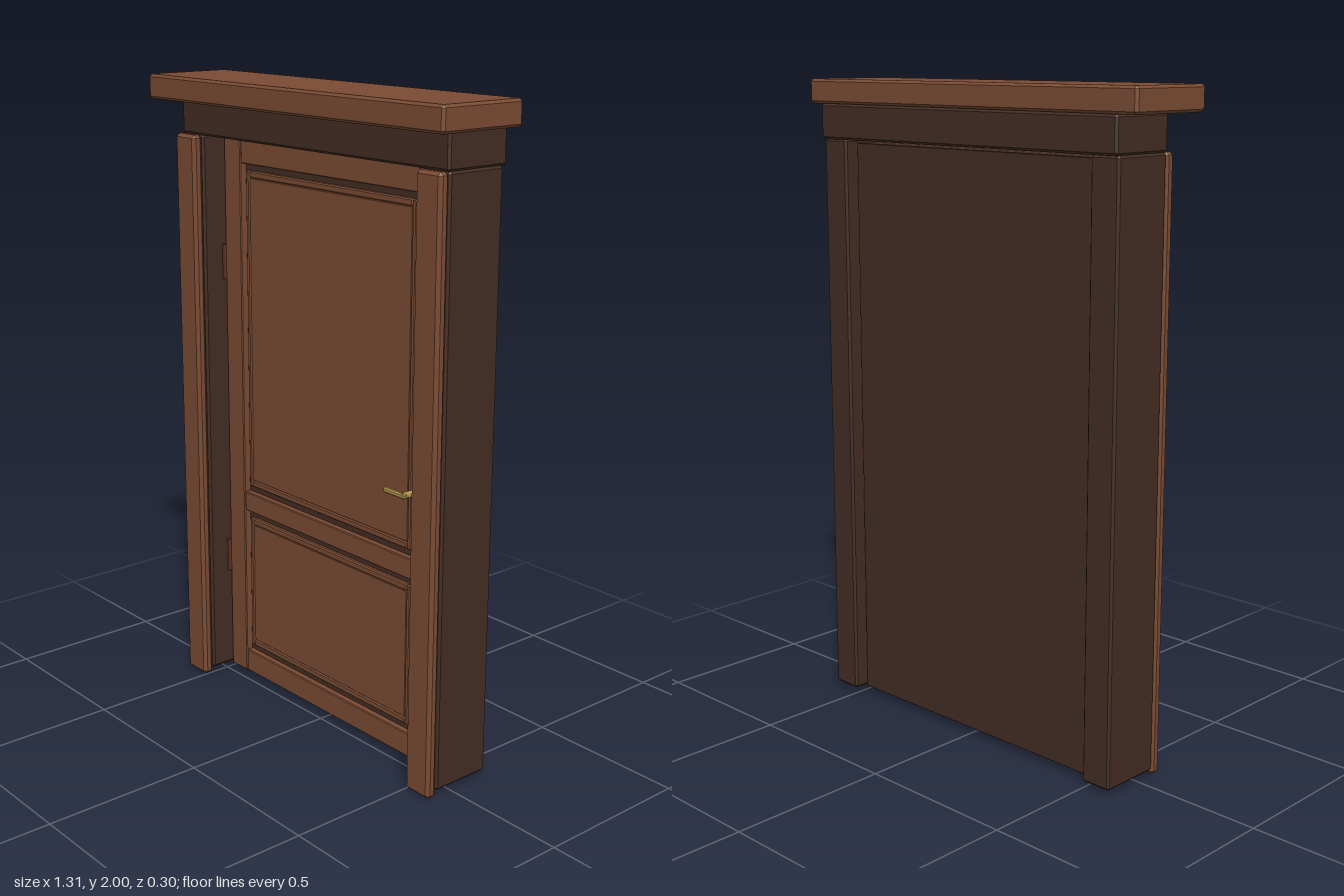
import * as THREE from 'three';
import { ConvexGeometry } from 'three/addons/geometries/ConvexGeometry.js';

const material = (name, color) => Object.assign(new THREE.MeshStandardMaterial({ color }), { name });
const wood = material('brown wood', 0x7a4b33);
const dark = material('dark wood', 0x432d23);
const brass = material('brass', 0xb3924d);
const rust = material('hinge metal', 0x5a2e1c);

// Box given by its extents, with every edge chamfered by c
function block(parent, name, mat, [x0, x1], [y0, y1], [z0, z1], c = 0.003) {
  const half = [(x1 - x0) / 2, (y1 - y0) / 2, (z1 - z0) / 2];
  const points = [];
  for (const sx of [-1, 1]) for (const sy of [-1, 1]) for (const sz of [-1, 1])
    for (let outer = 0; outer < 3; outer++) {
      const p = [sx, sy, sz].map((s, i) => s * (half[i] - (i === outer ? 0 : c)));
      points.push(new THREE.Vector3(...p));
    }
  const mesh = new THREE.Mesh(new ConvexGeometry(points), mat);
  mesh.name = name;
  mesh.position.set((x0 + x1) / 2, (y0 + y1) / 2, (z0 + z1) / 2);
  parent.add(mesh);
  return mesh;
}

function group(parent, name) {
  const g = new THREE.Group();
  g.name = name;
  parent.add(g);
  return g;
}

export function createModel() {
  const model = new THREE.Group();
  model.name = 'panelledDoor';

  // Surround: cornice, lintel, and a jamb with casing on each side
  const frame = group(model, 'frame');
  block(frame, 'cornice', wood, [-0.655, 0.655], [1.925, 2], [-0.145, 0.148], 0.008);
  block(frame, 'lintel', dark, [-0.595, 0.595], [1.818, 1.926], [-0.152, 0.065], 0.007);
  for (const [side, s] of [['left', 1], ['right', -1]]) {
    const span = (a, b) => (s > 0 ? [a, b] : [-b, -a]);
    block(frame, side + 'Jamb', dark, span(0.495, 0.595), [0.018, 1.819], [-0.14, 0.061], 0.007);
    block(frame, side + 'Casing', wood, span(0.497, 0.595), [0, 1.82], [0.06, 0.095], 0.01);
  }

  // Door leaf: dark core faced with brown stiles and rails
  const door = group(model, 'door');
  const face = [-0.04, -0.012];
  block(door, 'core', dark, [-0.482, 0.482], [0.021, 1.808], [-0.105, -0.035], 0.002);
  block(door, 'rightStile', wood, [-0.484, -0.402], [0.02, 1.81], face);
  block(door, 'leftStile', wood, [0.402, 0.484], [0.02, 1.81], face);
  for (const [name, y0, y1] of [['bottomRail', 0.02, 0.097], ['middleRail', 0.597, 0.662], ['topRail', 1.735, 1.81]])
    block(door, name, wood, [-0.402, 0.402], [y0, y1], [-0.04, -0.015]);

  // Two panels, each a mitred sloping border around a flat field
  for (const [name, y0, y1] of [['lowerPanel', 0.12, 0.575], ['upperPanel', 0.685, 1.715]]) {
    const panel = group(door, name);
    const edge = 0.386, inner = 0.368;
    block(panel, name + 'Field', wood, [-inner, inner], [y0 + 0.022, y1 - 0.022], [-0.037, -0.022], 0.002);
    for (const y of [y0, y1 - 0.022])
      block(panel, name + 'Moulding', wood, [-inner, inner], [y, y + 0.022], [-0.037, -0.02], 0.004);
    for (const x of [-edge, inner])
      block(panel, name + 'Moulding', wood, [x, x + edge - inner], [y0, y1], [-0.037, -0.02], 0.004);
  }

  // Hinges in the gap beside the right stile
  for (const y of [0.415, 1.415]) {
    const hinge = new THREE.Mesh(new THREE.CylinderGeometry(0.009, 0.009, 0.11, 12), rust);
    hinge.name = 'hinge';
    hinge.position.set(-0.489, y, -0.014);
    door.add(hinge);
  }

  // Handle: back plate, spindle and lever
  const handle = group(door, 'handle');
  block(handle, 'handlePlate', brass, [0.406, 0.446], [0.785, 0.937], [-0.014, -0.002]);
  const spindle = new THREE.Mesh(new THREE.CylinderGeometry(0.01, 0.01, 0.06, 12), brass);
  spindle.name = 'spindle';
  spindle.rotation.x = Math.PI / 2;
  spindle.position.set(0.425, 0.882, 0.025);
  handle.add(spindle);
  block(handle, 'lever', brass, [0.345, 0.436], [0.874, 0.89], [0.043, 0.058], 0.004);

  return model;
}
